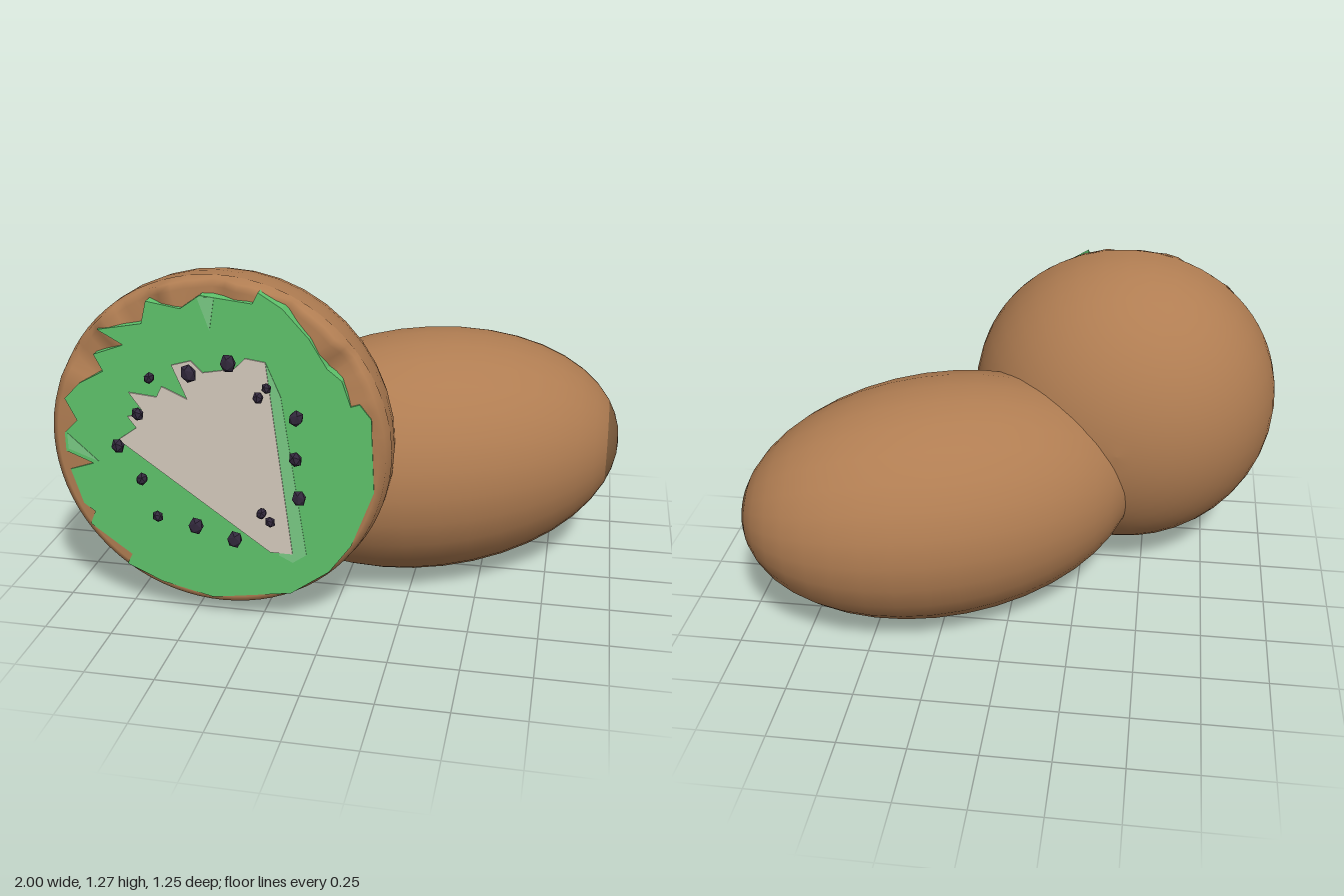
import * as THREE from 'three';

const mat = (name, color, side = THREE.FrontSide) => {
  const m = new THREE.MeshStandardMaterial({ color, side });
  m.name = name;
  return m;
};

export function createModel() {
  const skin = mat('brown skin', 0xb07d52);
  const skinRim = mat('brown skin', 0xb07d52, THREE.DoubleSide);
  skinRim.color = skin.color;
  const tip = mat('dark brown tip', 0x83603f);
  const flesh = mat('green flesh', 0x5fc46c);
  const pale = mat('pale green', 0x7acb85);
  const core = mat('cream core', 0xd6ccbe);
  const pip = mat('dark seed', 0x32283c);

  const model = new THREE.Group();
  const add = (name, geometry, material, parent = model) => {
    const mesh = new THREE.Mesh(geometry, material);
    mesh.name = name;
    parent.add(mesh);
    return mesh;
  };

  // Whole fruit: a sphere, pole to +x, stretched and sheared backwards
  const place = new THREE.Matrix4().set(
    0.73, 0, 0, 0.27,
    0, 0.465, 0, 0.465,
    -0.195, 0, 0.516, -0.08,
    0, 0, 0, 1);
  const capAngle = 0.355;
  const fruitPart = (rows, start, length) =>
    new THREE.SphereGeometry(1, 28, rows, 0, Math.PI * 2, start, length)
      .rotateZ(-Math.PI / 2).applyMatrix4(place);
  add('wholeFruit', fruitPart(18, capAngle, Math.PI - capAngle), skin);
  add('fruitTip', fruitPart(3, 0, capAngle), tip);

  // Half fruit: domed back
  const half = new THREE.Group();
  half.name = 'halfFruit';
  model.add(half);
  const cx = -0.39, cy = 0.665, R = 0.61;
  const profile = [];
  for (let i = 0; i <= 14; i++) {
    const t = -Math.PI / 2 + (i / 14) * (Math.PI / 2 + 0.055);
    profile.push(new THREE.Vector2(Math.max(0, R * Math.cos(t)), 0.47 + 0.54 * Math.sin(t)));
  }
  const dome = new THREE.LatheGeometry(profile, 40).rotateX(Math.PI / 2).translate(cx, cy, 0);
  add('halfSkin', dome, skin, half);

  // Torn skin rim: low and uneven along the top, even at the sides and bottom
  const n = 80, pos = [], idx = [];
  const rimHeight = (a) => {
    const top = THREE.MathUtils.smoothstep(Math.sin(a), 0.1, 0.7);
    const tear = 0.5 + 0.3 * Math.sin(a * 13) + 0.2 * Math.sin(a * 29 + 1);
    return 0.569 - 0.05 * top * tear;
  };
  for (let ring = 0; ring < 4; ring++) {
    for (let j = 0; j < n; j++) {
      const a = (j / n) * Math.PI * 2, h = rimHeight(a);
      const r = [0.609, 0.598, 0.575, 0.4][ring];
      const z = [0.498, h - 0.012, h, Math.min(h, 0.56)][ring];
      pos.push(cx + r * Math.cos(a), cy + r * Math.sin(a), z);
      if (ring < 3) {
        const k = (j + 1) % n, p = ring * n;
        idx.push(p + j, p + k, p + n + k, p + j, p + n + k, p + n + j);
      }
    }
  }
  const rim = new THREE.BufferGeometry();
  rim.setAttribute('position', new THREE.Float32BufferAttribute(pos, 3));
  rim.setIndex(idx);
  rim.computeVertexNormals();
  add('tornRim', rim, skinRim, half);

  // Cut face layers, each a flat outline with a thin edge
  const layer = (name, points, back, front, material) => {
    const shape = new THREE.Shape(points.map(([x, y]) => new THREE.Vector2(x, y)));
    const g = new THREE.ExtrudeGeometry(shape, { depth: front - back, bevelEnabled: false });
    add(name, g.translate(0, 0, back), material, half);
  };
  layer('greenFlesh', [
    [-0.22, 1.24], [-0.24, 1.2], [-0.42, 1.22], [-0.49, 1.17], [-0.61, 1.19], [-0.63, 1.11],
    [-0.79, 1.08], [-0.70, 1.03], [-0.81, 0.99], [-0.78, 0.93], [-0.87, 0.88], [-0.93, 0.82],
    [-0.89, 0.74], [-0.94, 0.69], [-0.94, 0.62], [-0.84, 0.58], [-0.93, 0.55], [-0.89, 0.42],
    [-0.85, 0.39], [-0.87, 0.34], [-0.72, 0.23], [-0.74, 0.19], [-0.61, 0.13], [-0.42, 0.085],
    [-0.13, 0.13], [0.01, 0.23], [0.09, 0.34], [0.17, 0.55], [0.16, 0.82], [0.12, 0.87],
    [0.09, 0.86], [0.06, 0.95], [0.01, 0.99], [-0.05, 1.09], [-0.14, 1.19],
  ], 0.515, 0.572, flesh);
  layer('paleStreak', [[-0.2, 1.0], [-0.15, 0.88], [-0.07, 0.29], [-0.12, 0.255], [-0.17, 0.28]],
    0.571, 0.574, pale);
  layer('paleTopFleck', [[-0.43, 1.215], [-0.37, 1.215], [-0.39, 1.1]], 0.571, 0.574, pale);
  layer('paleSideFleck', [[-0.93, 0.69], [-0.93, 0.63], [-0.82, 0.59]], 0.571, 0.574, pale);
  layer('creamCore', [
    [-0.12, 0.29], [-0.2, 1.0], [-0.27, 1.01], [-0.31, 0.97], [-0.42, 0.95], [-0.46, 0.99],
    [-0.53, 0.97], [-0.48, 0.85], [-0.57, 0.89], [-0.59, 0.85], [-0.69, 0.86], [-0.64, 0.79],
    [-0.7, 0.77], [-0.67, 0.73], [-0.74, 0.68], [-0.2, 0.29],
  ], 0.571, 0.577, core);

  // Seeds standing just off the cut face
  const seedGeometry = new THREE.IcosahedronGeometry(1, 0);
  [
    [-0.32, 1.0, 1.2], [-0.46, 0.955, 1.2], [-0.6, 0.93, 0.8], [-0.65, 0.795, 0.9],
    [-0.73, 0.67, 1], [-0.65, 0.55, 0.9], [-0.6, 0.41, 0.8], [-0.46, 0.385, 1.2],
    [-0.32, 0.345, 1.2], [-0.19, 0.425, 0.75], [-0.22, 0.455, 0.8], [-0.085, 0.525, 1.1],
    [-0.095, 0.67, 1], [-0.09, 0.82, 1.1], [-0.19, 0.92, 0.7], [-0.22, 0.885, 0.8],
  ].forEach(([x, y, s], i) => {
    const seed = add('seed', seedGeometry, pip, half);
    seed.position.set(x, y, 0.607);
    seed.scale.set(0.024 * s, 0.029 * s, 0.02);
    seed.rotation.z = Math.sin(i * 2.3) * 0.5;
  });

  return model;
}
